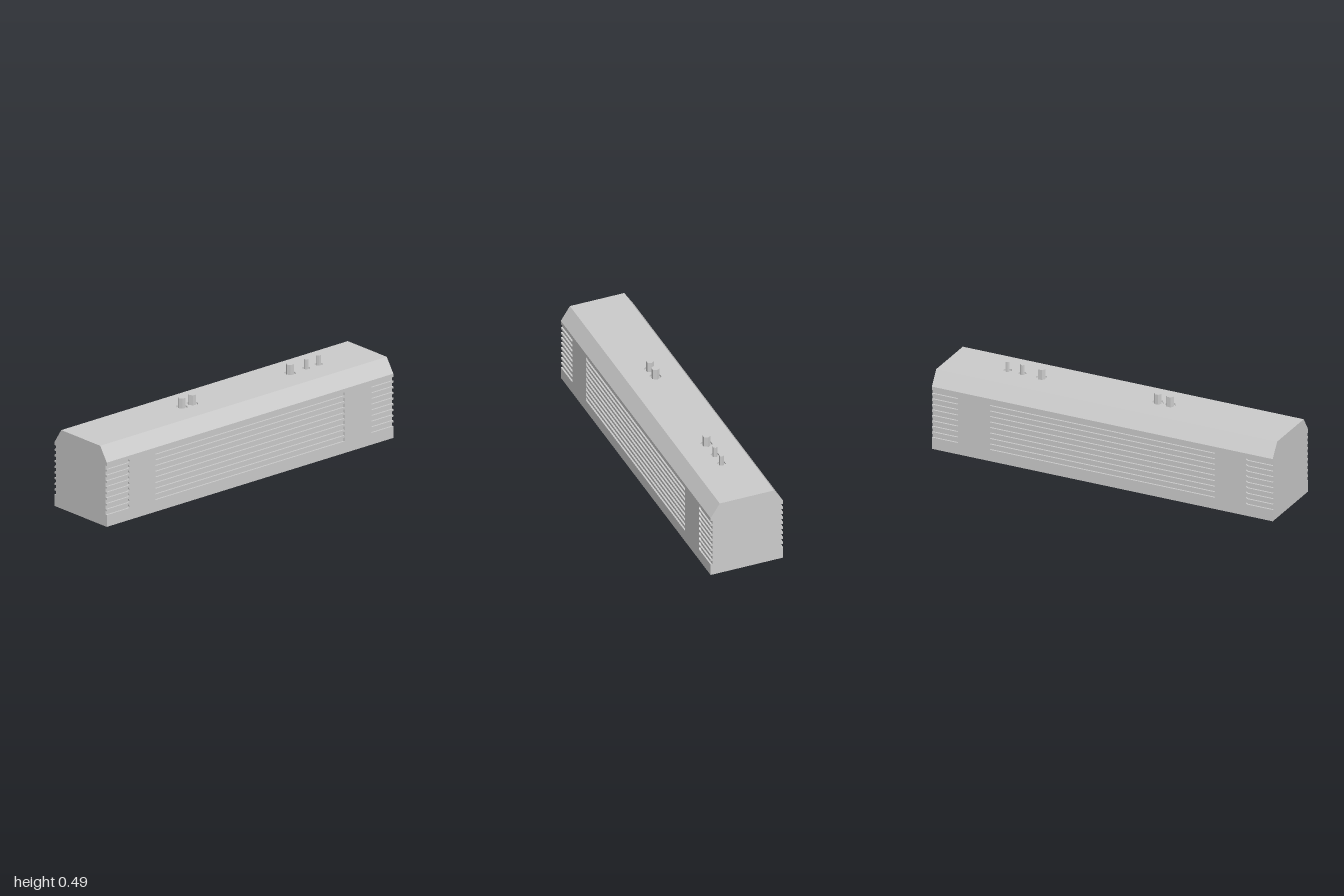
import * as THREE from 'three';

const HALF = 1, WIDE = 0.207, SHOULDER = 0.36, TOP = 0.44;
const GROOVE = 0.0095, SLOT_H = 0.021, SLOTS = 9, PITCH = 0.0318, FIRST = 0.066;
const RECESS = 0.01, CHANNEL = 0.05;

const polygon = (pts, Type = THREE.Shape) => new Type(pts.map(([x, y]) => new THREE.Vector2(x, y)));
const extrude = (shape, depth) => new THREE.ExtrudeGeometry(shape, { depth, bevelEnabled: false });

export function createModel() {
  const group = new THREE.Group();
  const material = new THREE.MeshStandardMaterial({ color: 0xcccccc, flatShading: true });
  const add = (name, geometry) => {
    const mesh = new THREE.Mesh(geometry, material);
    mesh.name = name;
    group.add(mesh);
    return mesh;
  };

  // Body: chamfered profile run along x, with a channel for the control strip
  const inner = WIDE - GROOVE;
  const half = [[inner, 0], [inner, SHOULDER], [WIDE, SHOULDER], [0.155, TOP], [CHANNEL, TOP], [CHANNEL, TOP - RECESS]];
  const mirrored = half.map(([z, y]) => [-z, y]).reverse();
  add('body', extrude(polygon([...half, ...mirrored]), 2 * HALF).rotateY(Math.PI / 2).translate(-HALF, 0, 0));

  // Side panels: long closed slots in the middle, slots open to the ends at both sides
  const slotBottoms = Array.from({ length: SLOTS }, (_, i) => FIRST + i * PITCH);
  const endX = 0.843, round = 0.007;
  const rightEdge = [[HALF, 0]];
  for (const y of slotBottoms) {
    const t = y + SLOT_H;
    rightEdge.push([HALF, y], [endX + round, y], [endX, y + round], [endX, t - round], [endX + round, t], [HALF, t]);
  }
  rightEdge.push([HALF, SHOULDER]);
  const leftEdge = rightEdge.map(([x, y]) => [-x, y]).reverse();
  const panel = polygon([...rightEdge, ...leftEdge]);
  for (const y of slotBottoms) {
    const t = y + SLOT_H;
    panel.holes.push(polygon([[-0.66, y], [-0.66, t], [0.66, t], [0.66, y]], THREE.Path));
  }
  const panelGeometry = extrude(panel, GROOVE).translate(0, 0, inner);
  add('frontVentPanel', panelGeometry);
  add('backVentPanel', panelGeometry).rotation.y = Math.PI;

  // Control strip with a hexagonal recess around each knob
  const controls = [[-0.295, 0.0215], [-0.222, 0.0215], [0.46, 0.0215], [0.573, 0.0125], [0.66, 0.0125]];
  const strip = polygon([[-HALF, -CHANNEL], [HALF, -CHANNEL], [HALF, CHANNEL], [-HALF, CHANNEL]]);
  for (const [x, r] of controls) {
    const hex = Array.from({ length: 6 }, (_, i) => {
      const a = -i * Math.PI / 3, outer = r + 0.011;
      return [x + outer * Math.cos(a), outer * Math.sin(a)];
    });
    strip.holes.push(polygon(hex, THREE.Path));
  }
  add('controlStrip', extrude(strip, RECESS).rotateX(-Math.PI / 2).translate(0, TOP - RECESS, 0));

  // Hexagonal knobs
  const knobBase = TOP - RECESS, knobTop = 0.492;
  for (const [x, r] of controls) {
    const knob = new THREE.CylinderGeometry(r, r, knobTop - knobBase, 6).rotateY(Math.PI / 2);
    add(r > 0.02 ? 'largeKnob' : 'smallKnob', knob).position.set(x, (knobTop + knobBase) / 2, 0);
  }

  return group;
}
